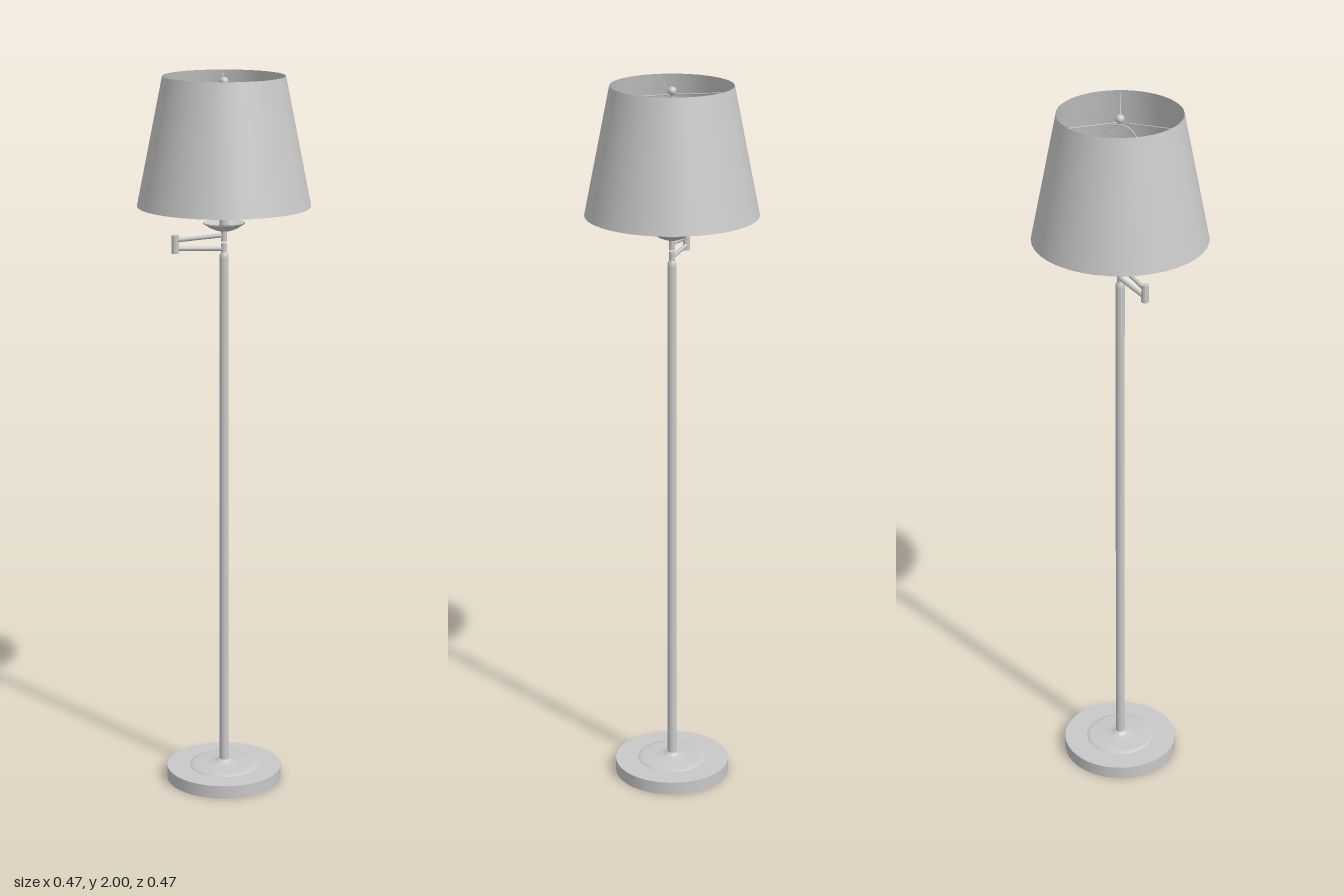
import * as THREE from 'three';

const V2 = (p) => new THREE.Vector2(p[0], p[1]);
const V3 = (x, y, z) => new THREE.Vector3(x, y, z);

export function createModel() {
  const lamp = new THREE.Group();
  lamp.name = 'floorLamp';
  const grey = new THREE.MeshStandardMaterial({ color: 0xc8c8c8, side: THREE.DoubleSide });
  grey.name = 'plainGrey';

  const add = (name, geometry) => {
    const mesh = new THREE.Mesh(geometry, grey);
    mesh.name = name;
    lamp.add(mesh);
    return mesh;
  };
  // Turned part; doubled points keep an edge crisp
  const lathe = (name, points, segments = 32) =>
    add(name, new THREE.LatheGeometry(points.map(V2), segments));
  // Straight round bar between two points
  const rod = (name, a, b, radius, sides = 12) => {
    const mesh = add(name, new THREE.CylinderGeometry(radius, radius, a.distanceTo(b), sides));
    mesh.position.copy(a).lerp(b, 0.5);
    mesh.quaternion.setFromUnitVectors(V3(0, 1, 0), b.clone().sub(a).normalize());
    return mesh;
  };

  // Weighted base with a shallow domed centre
  const base = add('base', new THREE.CylinderGeometry(0.163, 0.163, 0.037, 40));
  base.position.y = 0.0185;
  lathe('baseDome', [[0.098, 0.036], [0.096, 0.04], [0.085, 0.042], [0.05, 0.044], [0.024, 0.046],
    [0.02, 0.052], [0.012, 0.055]], 40);

  // Pole, with a narrowed collar at its top
  rod('pole', V3(0, 0.037, 0), V3(0, 1.51, 0), 0.0125, 20);
  lathe('poleCollar', [[0.0125, 1.51], [0.0125, 1.518], [0.008, 1.526], [0.008, 1.526], [0, 1.526]], 20);

  // Folded swing arm: lower bar out, hinge, upper bar back to the stem
  const hingeX = -0.132;
  rod('lowerPivot', V3(0, 1.52, 0), V3(0, 1.55, 0), 0.008);
  rod('lowerArm', V3(0, 1.535, 0), V3(hingeX, 1.535, 0), 0.006);
  rod('hinge', V3(hingeX, 1.522, 0), V3(hingeX, 1.572, 0), 0.01, 16);
  rod('upperArm', V3(hingeX, 1.558, 0), V3(0, 1.572, 0), 0.006);
  rod('stem', V3(0, 1.555, 0), V3(0, 1.59, 0), 0.008);

  // Dish and socket
  lathe('dish', [[0, 1.584], [0.02, 1.585], [0.038, 1.592], [0.057, 1.604], [0.057, 1.607],
    [0.036, 1.597], [0.012, 1.594], [0, 1.594]]);
  rod('socketTube', V3(0, 1.59, 0), V3(0, 1.76, 0), 0.0125, 20);
  lathe('socketCap', [[0.0125, 1.75], [0.017, 1.758], [0.017, 1.8], [0.013, 1.806], [0, 1.806]], 20);

  // Bulb
  lathe('bulb', [[0.013, 1.8], [0.015, 1.815], [0.027, 1.835], [0.039, 1.855], [0.043, 1.877],
    [0.039, 1.897], [0.027, 1.912], [0.013, 1.919], [0, 1.92]], 24);

  // Harp: wire loop around the bulb, set diagonally
  const half = [[0.014, 1.765], [0.04, 1.775], [0.06, 1.82], [0.064, 1.875], [0.05, 1.93], [0.024, 1.962]];
  const loop = [...half.map(([x, y]) => V3(x, y, 0)), V3(0, 1.97, 0),
    ...half.slice().reverse().map(([x, y]) => V3(-x, y, 0))];
  const harp = add('harp', new THREE.TubeGeometry(new THREE.CatmullRomCurve3(loop), 48, 0.0018, 6));
  harp.rotation.y = Math.PI / 4;

  // Finial and the three spokes that carry the shade
  const finial = add('finial', new THREE.SphereGeometry(0.012, 16, 12));
  finial.position.y = 1.985;
  for (let i = 0; i < 3; i++) {
    const a = -Math.PI / 2 + (i * Math.PI * 2) / 3;
    rod('shadeSpoke', V3(0, 1.976, 0), V3(Math.cos(a) * 0.166, 1.99, Math.sin(a) * 0.166), 0.0015, 6);
  }

  // Open tapered shade
  const shade = add('shade', new THREE.CylinderGeometry(0.165, 0.235, 0.348, 40, 1, true));
  shade.position.y = 1.826;

  return lamp;
}
